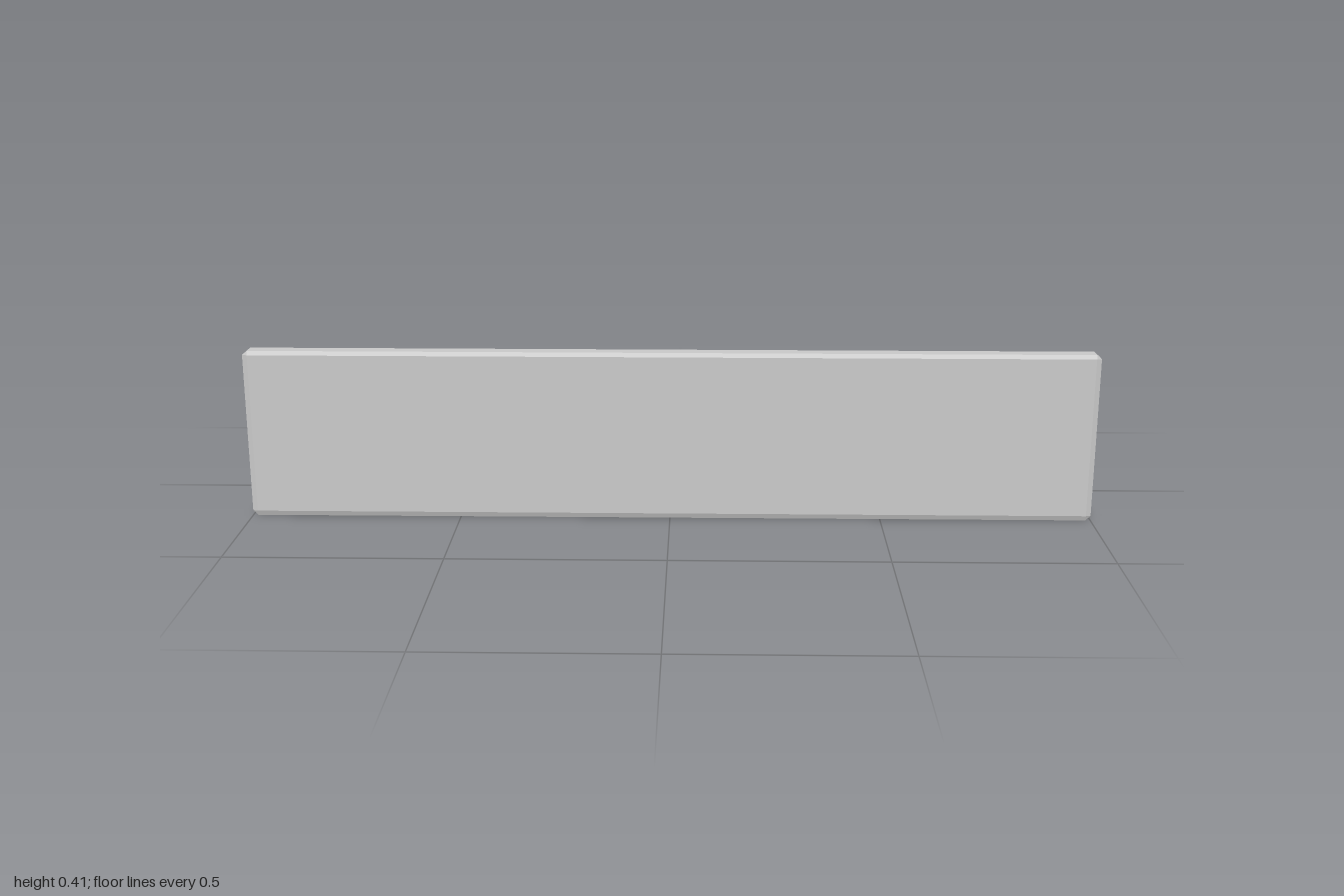
import * as THREE from 'three';
import { toCreasedNormals } from 'three/addons/utils/BufferGeometryUtils.js';

// Flat-faced solid lofted through [x, profile] stations; profiles are [z, y] corner loops
function loft(stations) {
  const pos = [];
  const tri = (...corners) => {
    const [a, b, c] = corners.map(p => new THREE.Vector3(...p));
    const area = b.clone().sub(a).cross(c.clone().sub(a)).length();
    if (area > 1e-9) pos.push(...corners.flat());
  };
  const rings = stations.map(([x, profile]) => profile.map(([z, y]) => [x, y, z]));
  for (let s = 0; s < rings.length - 1; s++) {
    const a = rings[s], b = rings[s + 1];
    for (let i = 0; i < a.length; i++) {
      const j = (i + 1) % a.length;
      tri(a[i], b[i], b[j]);
      tri(a[i], b[j], a[j]);
    }
  }
  // End caps
  const first = rings[0], last = rings[rings.length - 1];
  const outline = stations[0][1].map(([z, y]) => new THREE.Vector2(z, y));
  for (const [i, j, k] of THREE.ShapeUtils.triangulateShape(outline, [])) {
    tri(first[i], first[j], first[k]);
    tri(last[i], last[k], last[j]);
  }
  const geo = new THREE.BufferGeometry();
  geo.setAttribute('position', new THREE.Float32BufferAttribute(pos, 3));
  geo.computeVertexNormals();
  return geo;
}

export function createModel() {
  const group = new THREE.Group();
  group.name = 'angledRail';
  const material = new THREE.MeshStandardMaterial({ color: 0xcccccc });
  const add = (name, geometry) => {
    const mesh = new THREE.Mesh(geometry, material);
    mesh.name = name;
    group.add(mesh);
    return mesh;
  };

  // L-shaped wall and floor with chamfered ends
  const full = [
    [0.219, 0], [0.223, 0.012], [0.223, 0.396], [0.22, 0.406], [0.188, 0.406],
    [0.185, 0.396], [0.185, 0.038], [-0.184, 0.038], [-0.184, 0],
  ];
  const inset = [
    [0.219, 0.012], [0.219, 0.012], [0.219, 0.396], [0.219, 0.396], [0.189, 0.396],
    [0.189, 0.396], [0.189, 0.028], [-0.184, 0.028], [-0.184, 0.012],
  ];
  add('wallAndFloor', loft([[-1, inset], [-0.988, full], [0.988, full], [1, inset]]));

  // Round bead along the back edge of the floor
  const beadProfile = [
    [0, -1], [0.028, -1], [0.039, -0.988], [0.039, 0.988], [0.028, 1], [0, 1],
  ].map(([r, y]) => new THREE.Vector2(r, y));
  const bead = add('backBead', toCreasedNormals(new THREE.LatheGeometry(beadProfile, 48), 0.5));
  bead.rotation.z = Math.PI / 2;
  bead.position.set(0, 0.039, -0.184);

  return group;
}
